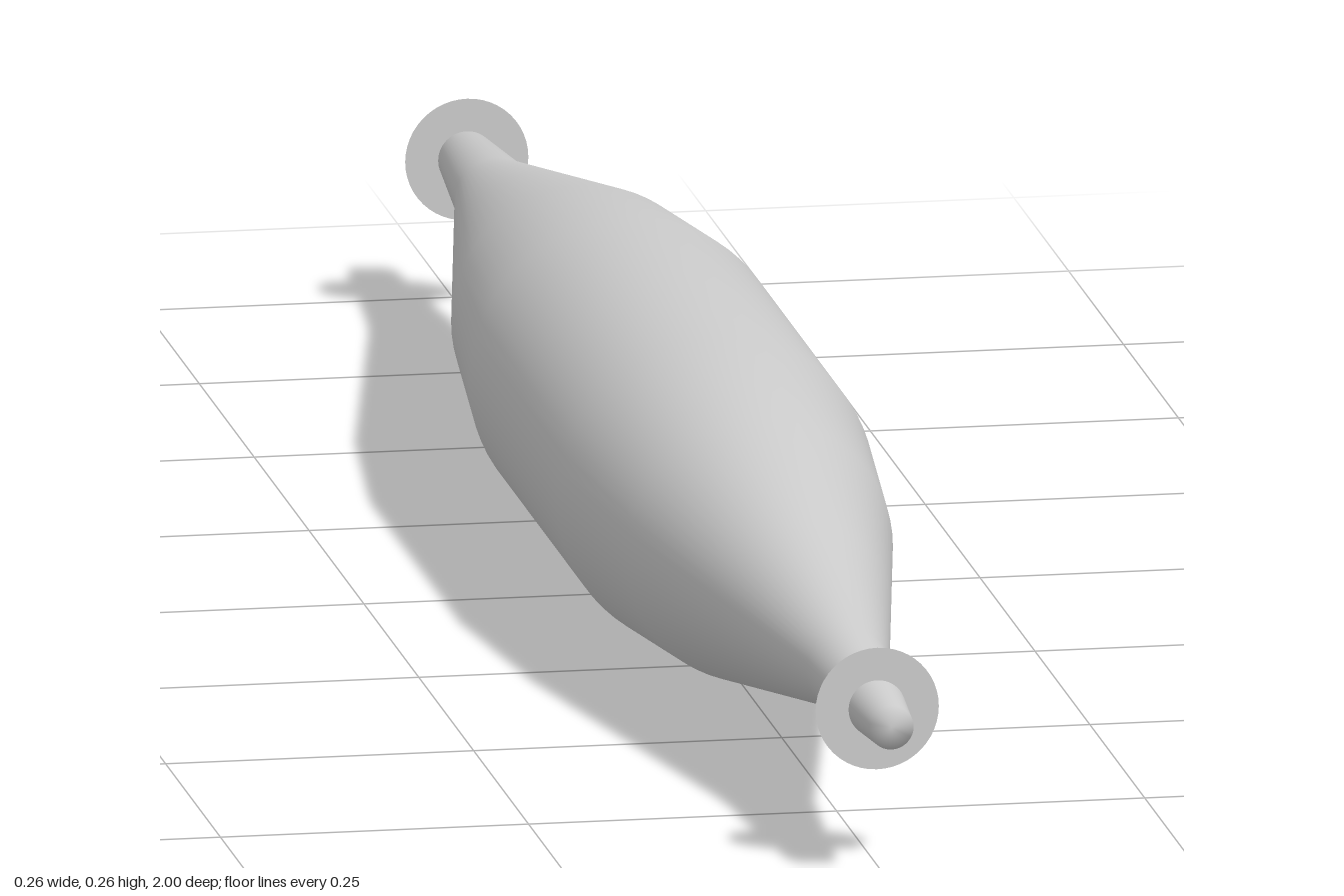
import * as THREE from 'three';

const RADIUS = 0.129; // widest radius, also the height of the axis
const material = new THREE.MeshStandardMaterial({ color: 0xcccccc });
const thinMaterial = new THREE.MeshStandardMaterial({ color: 0xcccccc, side: THREE.DoubleSide });

export function createModel() {
  const model = new THREE.Group();
  model.name = 'spindle';

  // Tapered body: half profile as [radius, distance from middle], mirrored
  const half = [[RADIUS, 0.2], [0.108, 0.4], [0.071, 0.6], [0.034, 0.8], [0.018, 1], [0, 1]];
  const profile = [
    ...half.map(([r, d]) => new THREE.Vector2(r, -d)).reverse(),
    new THREE.Vector2(RADIUS, 0),
    ...half.map(([r, d]) => new THREE.Vector2(r, d)),
  ];
  const body = new THREE.Mesh(new THREE.LatheGeometry(profile, 64).rotateX(Math.PI / 2), material);
  body.name = 'taperedBody';
  body.position.y = RADIUS;
  model.add(body);

  // Thin flat collar near each tip
  for (const side of [1, -1]) {
    const collar = new THREE.Mesh(new THREE.RingGeometry(0.022, 0.05, 48), thinMaterial);
    collar.name = side > 0 ? 'frontCollar' : 'backCollar';
    collar.position.set(0, RADIUS, side * 0.935);
    if (side < 0) collar.rotation.y = Math.PI;
    model.add(collar);
  }
  return model;
}
